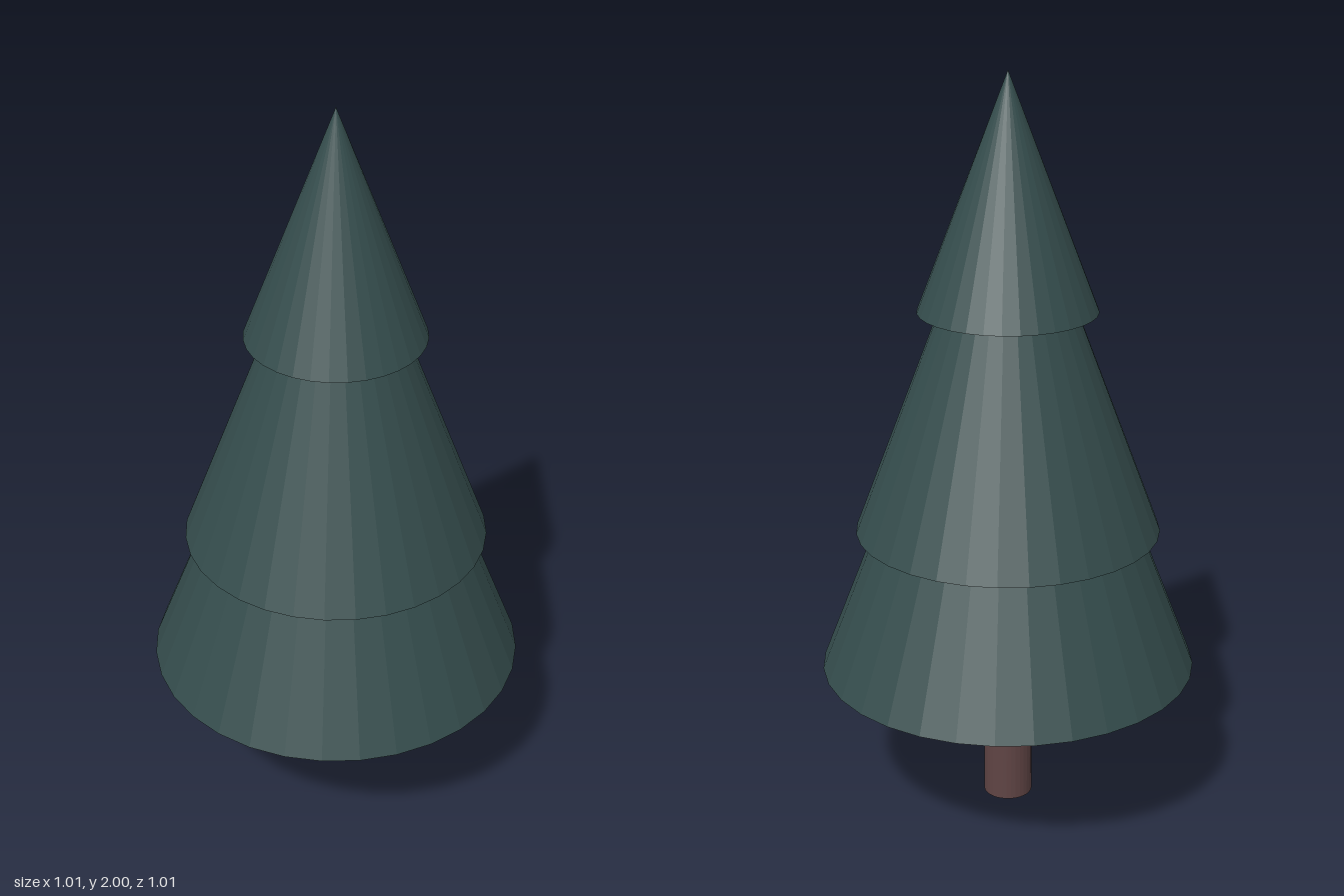
import * as THREE from 'three';

const SIDES = 32;

export function createModel() {
  const tree = new THREE.Group();
  tree.name = 'pineTree';

  const needles = new THREE.MeshStandardMaterial({ color: 0x354d4d, flatShading: true });
  needles.name = 'darkGreenNeedles';
  const bark = new THREE.MeshStandardMaterial({ color: 0x5f4444, flatShading: true });
  bark.name = 'brownBark';

  // Trunk, running a little way into the lowest tier
  const trunkHeight = 0.42;
  const trunk = new THREE.Mesh(
    new THREE.CylinderGeometry(0.066, 0.066, trunkHeight, SIDES), bark);
  trunk.name = 'trunk';
  trunk.position.y = trunkHeight / 2;
  tree.add(trunk);

  // Three overlapping foliage cones: base height, tip height, base radius
  const tiers = [
    ['lowerFoliage', 0.403, 1.7, 0.504],
    ['middleFoliage', 0.79, 1.86, 0.405],
    ['upperFoliage', 1.387, 2.0, 0.235],
  ];
  for (const [name, base, tip, radius] of tiers) {
    const tier = new THREE.Mesh(
      new THREE.ConeGeometry(radius, tip - base, SIDES), needles);
    tier.name = name;
    tier.position.y = (base + tip) / 2;
    tree.add(tier);
  }

  return tree;
}
